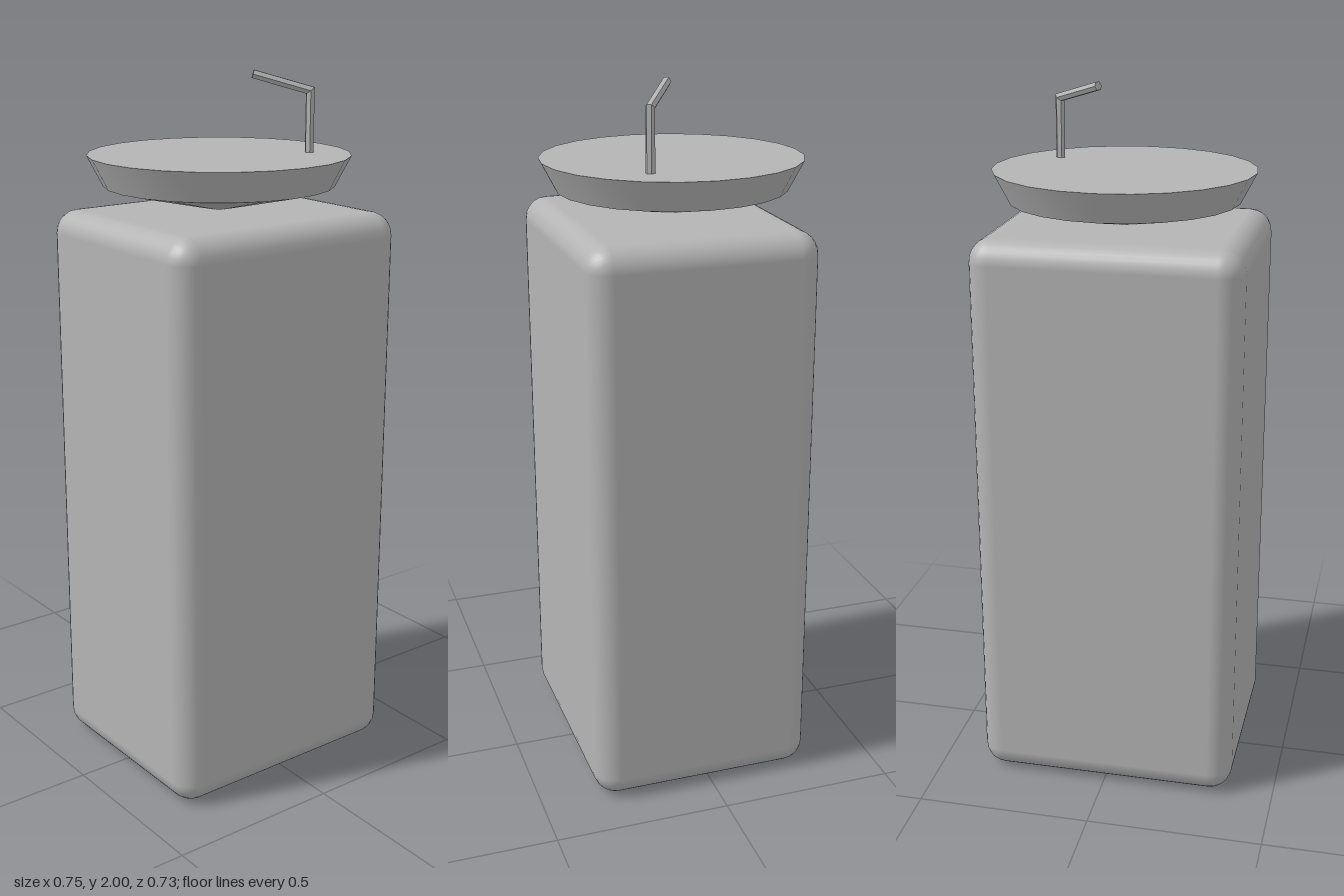
import * as THREE from 'three';
import { toCreasedNormals } from 'three/addons/utils/BufferGeometryUtils.js';
import { RoundedBoxGeometry } from 'three/addons/geometries/RoundedBoxGeometry.js';

// Six-sided rod with one mitred bend: base -> joint -> tip
function bentRod(base, joint, tip, radius) {
  const up = new THREE.Vector3(0, 1, 0);
  const dir = tip.clone().sub(joint);
  const length = dir.length();
  dir.normalize();
  const mitre = up.clone().add(dir);

  // Turn the ring so that a flat side faces the bend
  const g = new THREE.CylinderGeometry(radius, radius, 1, 6, 2);
  g.rotateY(Math.atan2(dir.x, dir.z) + Math.PI / 6);

  const pos = g.attributes.position;
  for (let i = 0; i < pos.count; i++) {
    const row = Math.round(pos.getY(i) * 2); // -1 base, 0 joint, 1 tip
    const p = new THREE.Vector3(pos.getX(i), 0, pos.getZ(i));
    if (row < 0) {
      p.add(base);
    } else {
      p.y = -p.dot(mitre) / mitre.y; // slide up the post to the mitre plane
      if (row > 0) p.addScaledVector(dir, length - p.dot(dir)); // square end
      p.add(joint);
    }
    pos.setXYZ(i, p.x, p.y, p.z);
  }
  const flat = g.toNonIndexed();
  flat.computeVertexNormals();
  return flat;
}

export function createModel() {
  const group = new THREE.Group();
  const grey = new THREE.MeshStandardMaterial({ color: 0xb4b4b4 });
  grey.name = 'plain grey';

  const add = (name, geometry) => {
    const mesh = new THREE.Mesh(geometry, grey);
    mesh.name = name;
    group.add(mesh);
    return mesh;
  };

  // Tall soft-edged pedestal, set slightly forward
  add('pedestal', new RoundedBoxGeometry(0.752, 1.62, 0.645, 3, 0.066))
    .position.set(0, 0.81, 0.02);

  // Shallow basin with a conical underside and a flat top
  const profile = [[0, 1.617], [0.322, 1.69], [0.366, 1.775], [0, 1.775]]
    .map(([r, y]) => new THREE.Vector2(r, y));
  add('basin', toCreasedNormals(new THREE.LatheGeometry(profile, 24), 0.5));

  // Bent tap standing near the front left rim
  add('tap', bentRod(
    new THREE.Vector3(0.216, 1.76, 0.13),
    new THREE.Vector3(0.216, 1.943, 0.13),
    new THREE.Vector3(0.084, 1.988, 0.042),
    0.013
  ));

  return group;
}
